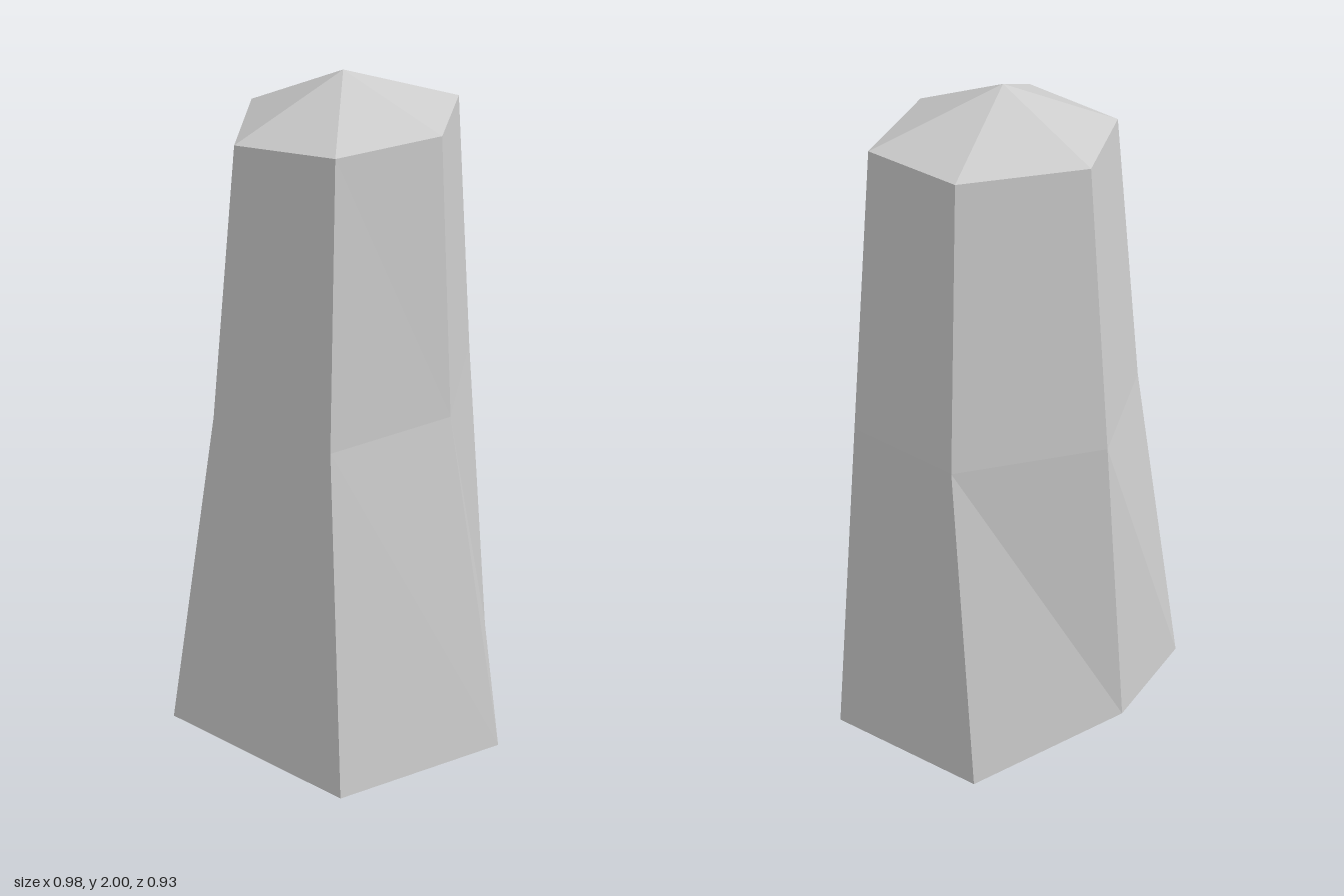
import * as THREE from 'three';

// Six-sided cross-sections, from the right corner round past the front: [x, y, z]
const RINGS = [
  [[0.49, 0.065, -0.01], [0.245, 0.09, 0.46], [-0.34, 0.13, 0.45], [-0.49, 0.23, -0.01], [-0.325, 0.16, -0.455], [0.195, 0.115, -0.465]],
  [[0.3, 1.1, -0.012], [0.135, 1.1, 0.33], [-0.24, 1.1, 0.33], [-0.44, 1.1, -0.055], [-0.222, 1.1, -0.42], [0.13, 1.1, -0.42]],
  [[0.25, 1.885, -0.018], [0.11, 1.885, 0.26], [-0.193, 1.86, 0.26], [-0.36, 1.86, -0.055], [-0.183, 1.86, -0.352], [0.11, 1.87, -0.352]],
];
const BOTTOM = [-0.06, 0, -0.03];
const TOP = [-0.055, 2, -0.035];

function facetedMesh(name, corners) {
  const geometry = new THREE.BufferGeometry();
  geometry.setAttribute('position', new THREE.Float32BufferAttribute(corners.flat(), 3));
  geometry.computeVertexNormals();
  const mesh = new THREE.Mesh(geometry, new THREE.MeshStandardMaterial({ color: 0xcccccc, flatShading: true }));
  mesh.name = name;
  return mesh;
}

// Band of facets between two rings
function band(name, low, high) {
  const corners = low.flatMap((a, i) => {
    const j = (i + 1) % low.length;
    return [a, high[i], high[j], a, high[j], low[j]];
  });
  return facetedMesh(name, corners);
}

// Fan of facets from a ring to a point
function tip(name, ring, point, up) {
  const corners = ring.flatMap((a, i) => {
    const b = ring[(i + 1) % ring.length];
    return up ? [a, point, b] : [a, b, point];
  });
  return facetedMesh(name, corners);
}

export function createModel() {
  const group = new THREE.Group();
  group.name = 'stonePillar';
  group.add(
    tip('base', RINGS[0], BOTTOM, false),
    band('lowerShaft', RINGS[0], RINGS[1]),
    band('upperShaft', RINGS[1], RINGS[2]),
    tip('cap', RINGS[2], TOP, true),
  );
  return group;
}
